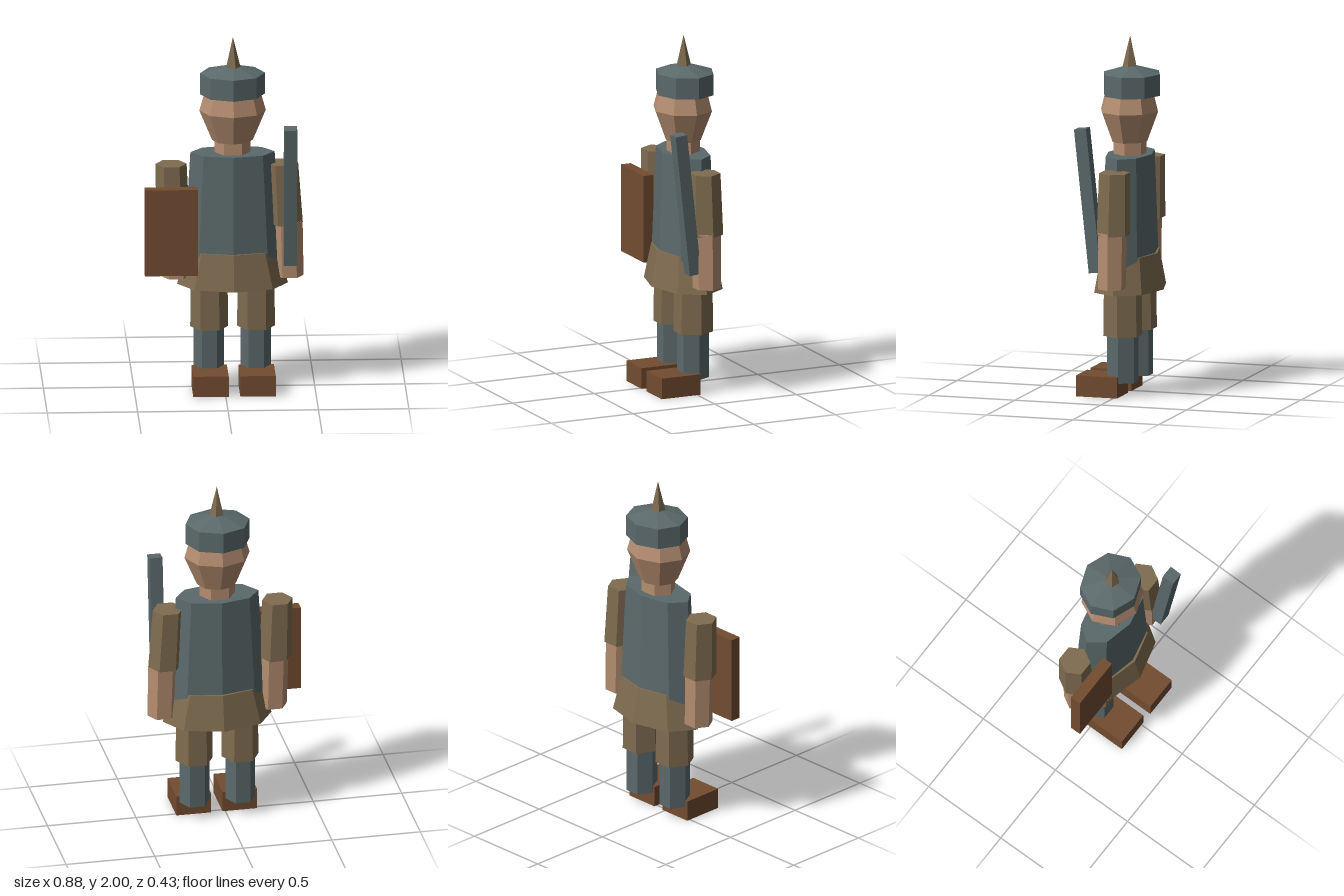
import * as THREE from 'three';

const mat = (name, color, side = THREE.FrontSide) => {
  const m = new THREE.MeshStandardMaterial({ color, flatShading: true, side });
  m.name = name;
  return m;
};

export function createModel() {
  const steel = mat('slate cloth', 0x5b696b);
  const tan = mat('tan cloth', 0x7f6c50, THREE.DoubleSide);
  const skin = mat('skin', 0xb48d70);
  const brown = mat('brown leather', 0x734c31, THREE.DoubleSide);

  const model = new THREE.Group();
  const CX = 0.047, CZ = -0.022; // body axis

  const add = (name, geometry, material, x = 0, y = 0, z = 0) => {
    const mesh = new THREE.Mesh(geometry, material);
    mesh.name = name;
    mesh.position.set(x, y, z);
    model.add(mesh);
    return mesh;
  };

  // Faceted solid of revolution squashed in z; profile rows are [radius, y], bottom to top
  const turned = (profile, sides, depth, turn = 0) =>
    new THREE.LatheGeometry(profile.map(([r, y]) => new THREE.Vector2(r, y)), sides)
      .rotateY(turn).scale(1, 1, depth);

  // Six-sided limb with corners on x, leaning sideways by `lean` from bottom to top
  const limb = (rBottom, rTop, y0, y1, depth, lean = 0) => {
    const h = y1 - y0;
    const g = new THREE.CylinderGeometry(rTop, rBottom, h, 6).rotateY(Math.PI / 2).scale(1, 1, depth);
    const p = g.attributes.position;
    for (let i = 0; i < p.count; i++) p.setX(i, p.getX(i) + lean * (p.getY(i) / h + 0.5));
    return g.translate(0, y0 + h / 2, 0);
  };

  // Helmet and spike
  add('helmet', turned([[0, 1.67], [0.18, 1.67], [0.18, 1.79], [0, 1.84]], 8, 0.905), steel, CX, 0, -0.032);
  add('helmetSpike', turned([[0.045, 1.815], [0, 2]], 5, 1, Math.PI / 2), tan, CX + 0.002, 0, -0.023);

  // Head and neck
  add('head', turned([[0, 1.4], [0.113, 1.41], [0.184, 1.58], [0.158, 1.672], [0, 1.72]], 8, 0.9), skin, CX, 0, -0.019);
  add('neck', limb(0.1, 0.1, 1.3, 1.42, 0.92), skin, CX, 0, CZ);

  // Torso and open flared skirt
  add('torso', turned([[0, 0.72], [0.271, 0.72], [0.233, 1.34], [0, 1.34]], 8, 0.54), steel, CX, 0, CZ);
  add('skirt', turned([[0.307, 0.585], [0.25, 0.787], [0, 0.787]], 8, 0.635), tan, CX, 0, CZ);

  // Legs and shoes
  for (const [side, x, shoeX] of [['right', -0.082, -0.082], ['left', 0.177, 0.178]]) {
    add(side + 'BreechesLeg', limb(0.105, 0.1, 0.34, 0.72, 1.06), tan, x, 0, CZ);
    add(side + 'Shin', limb(0.084, 0.084, 0.08, 0.36, 1.07), steel, x - 0.002, 0, CZ);
    // Shoe shell without a sole
    const shoe = new THREE.BoxGeometry(0.196, 0.117, 0.238);
    const index = Array.from(shoe.index.array);
    shoe.setIndex(index.filter((_, i) => i < 18 || i >= 24));
    shoe.clearGroups();
    add(side + 'Shoe', shoe, brown, shoeX, 0.0585, 0.099);
  }

  // Arms: sleeve and bare forearm, both leaning the same way
  for (const [side, topX, midX, handX] of [['right', -0.293, -0.282, -0.267], ['left', 0.324, 0.343, 0.36]]) {
    add(side + 'Sleeve', limb(0.093, 0.086, 0.93, 1.275, 1.02, topX - midX), tan, midX, 0, CZ);
    add(side + 'Forearm', limb(0.08, 0.083, 0.63, 0.945, 0.98, (midX - handX) * 0.5), skin, handX, 0, -0.018);
  }

  // Board held in the right hand
  add('shield', new THREE.BoxGeometry(0.293, 0.493, 0.062), brown, -0.2975, 0.918, 0.096);

  // Tilted bar carried in front of the left arm
  const bar = add('weapon', new THREE.BoxGeometry(0.072, 0.805, 0.07), steel, 0.361, 1.12, 0.112);
  bar.rotation.x = 0.107;

  return model;
}
